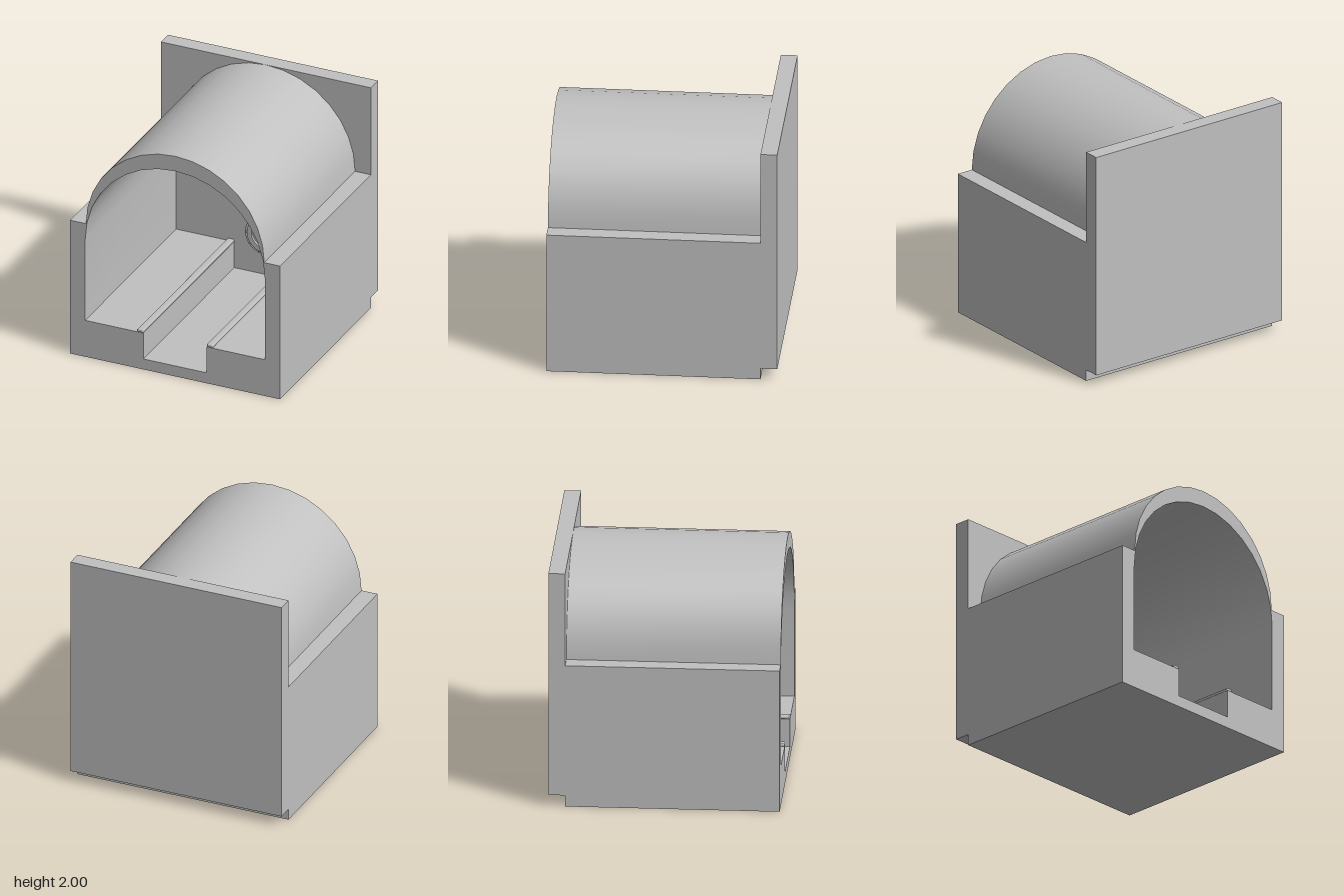
import * as THREE from 'three';
import { toCreasedNormals } from 'three/addons/utils/BufferGeometryUtils.js';
import { RoundedBoxGeometry } from 'three/addons/geometries/RoundedBoxGeometry.js';

const FRONT = 0.93, WALL = -0.795, BACK = -0.93;

// Points of a half circle from +x over the top to -x
function arch(radius, centreY, steps = 16) {
  return Array.from({ length: steps + 1 }, (_, i) => {
    const a = (Math.PI * i) / steps;
    return new THREE.Vector2(radius * Math.cos(a), centreY + radius * Math.sin(a));
  });
}

export function createModel() {
  const group = new THREE.Group();
  const grey = new THREE.MeshStandardMaterial({ color: 0xc0c0c0 });
  grey.name = 'light grey';

  function add(name, geometry, x = 0, y = 0, z = 0) {
    const mesh = new THREE.Mesh(geometry, grey);
    mesh.name = name;
    mesh.position.set(x, y, z);
    group.add(mesh);
    return mesh;
  }
  const v = (x, y) => new THREE.Vector2(x, y);

  // Vaulted body: outer outline, then back along the inner vault and floor channel
  const outline = [
    v(-0.28, 0.095), v(-0.28, 0.33), v(-0.795, 0.33),
    ...arch(0.795, 1.07).reverse(),
    v(0.795, 0.33), v(0.28, 0.33), v(0.28, 0.095),
  ];
  const outer = [v(-0.93, 0), v(0.93, 0), v(0.93, 1.21), ...arch(0.79, 1.21), v(-0.93, 1.21)];
  const body = new THREE.Shape(outer);
  body.holes.push(new THREE.Path(outline));
  const bodyGeometry = new THREE.ExtrudeGeometry(body, { depth: FRONT - WALL, bevelEnabled: false });
  add('vaultedBody', toCreasedNormals(bodyGeometry, 0.4), 0, 0, WALL);

  // Back wall, raised a little above the base
  add('backWall', new THREE.BoxGeometry(1.86, 1.905, WALL - BACK), 0, 1.0475, (WALL + BACK) / 2);

  // Rounded rails along both edges of the channel
  for (const side of [-1, 1]) {
    add(side > 0 ? 'leftRail' : 'rightRail',
      new RoundedBoxGeometry(0.055, 0.027, FRONT - WALL, 3, 0.01), side * 0.3075, 0.3425, (FRONT + WALL) / 2);
  }

  // Round flange on the back wall: stepped ring with a sunken centre
  const profile = [v(0.175, 0), v(0.175, 0.02), v(0.155, 0.02), v(0.155, 0.03), v(0.115, 0.03), v(0.115, 0.008), v(0, 0.008)];
  const flange = toCreasedNormals(new THREE.LatheGeometry(profile, 40), 0.5);
  flange.rotateX(Math.PI / 2);
  add('flange', flange, 0, 0.46, WALL);

  // Small bolts round the flange
  for (let i = 0; i < 10; i++) {
    const a = (i * Math.PI) / 5;
    const bolt = new THREE.CylinderGeometry(0.006, 0.006, 0.014, 10).rotateX(Math.PI / 2);
    add('bolt', bolt, 0.162 * Math.cos(a), 0.46 + 0.162 * Math.sin(a), WALL + 0.025);
  }
  return group;
}
